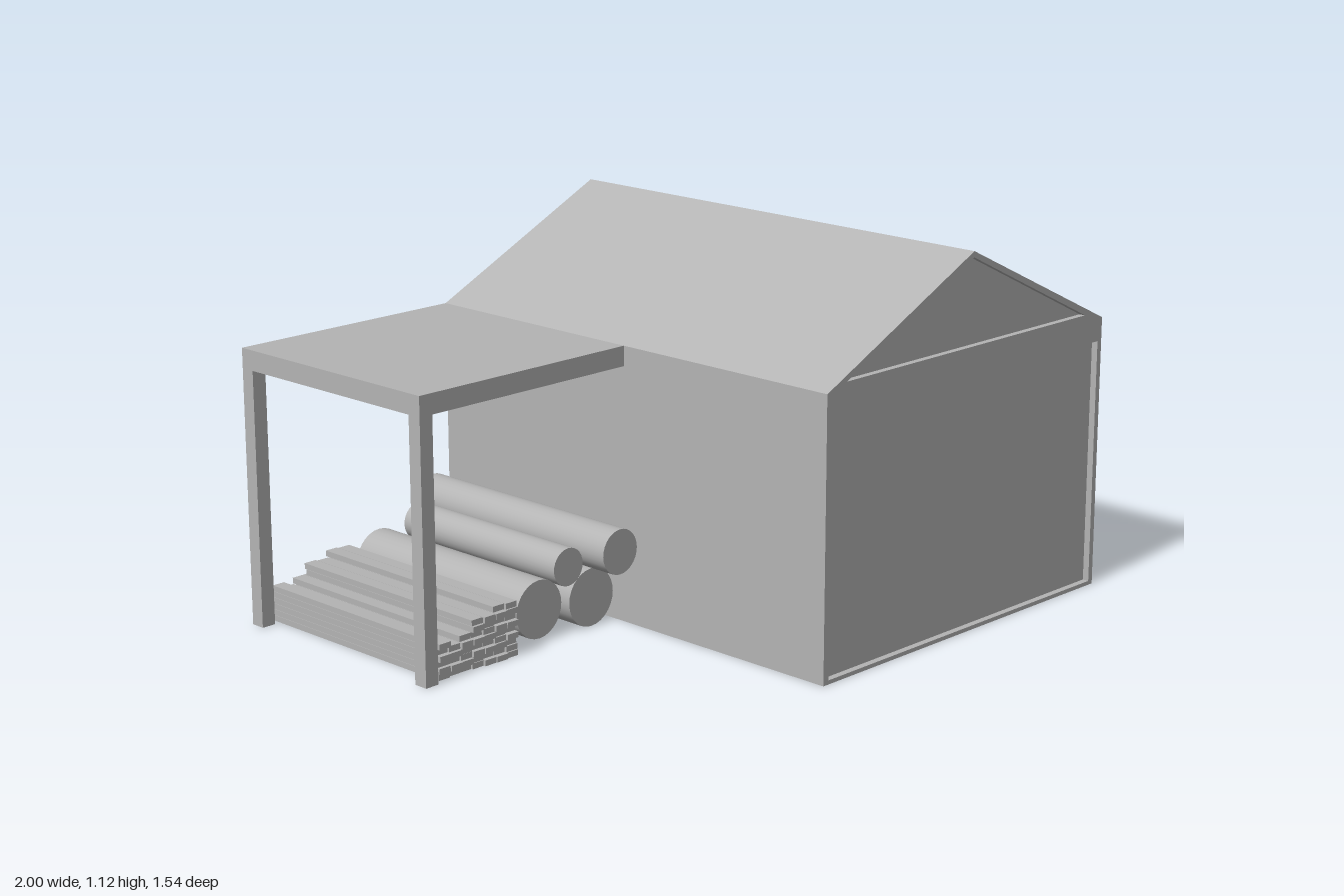
import * as THREE from 'three';

const grey = new THREE.MeshStandardMaterial({ color: 0xb4b4b4 });
grey.name = 'plain grey';

const rect = (x0, y0, x1, y1) => [[x0, y0], [x1, y0], [x1, y1], [x0, y1]];
const toPoints = (list) => list.map(([x, y]) => new THREE.Vector2(x, y));

// Extruded outline with optional openings, starting at z
function slab(outline, holes, z, depth) {
  const shape = new THREE.Shape(toPoints(outline));
  holes.forEach((h) => shape.holes.push(new THREE.Path(toPoints(h))));
  return new THREE.ExtrudeGeometry(shape, { depth, bevelEnabled: false }).translate(0, 0, z);
}

// Box given by its two opposite corners
function box(x0, y0, z0, x1, y1, z1) {
  return new THREE.BoxGeometry(x1 - x0, y1 - y0, z1 - z0)
    .translate((x0 + x1) / 2, (y0 + y1) / 2, (z0 + z1) / 2);
}

export function createModel() {
  const model = new THREE.Group();
  model.name = 'workshop';
  const add = (name, geometry, parent = model) => {
    const mesh = new THREE.Mesh(geometry, grey);
    mesh.name = name;
    parent.add(mesh);
    return mesh;
  };

  const L = -0.23, R = 1, mid = 0.385, eave = 0.83, ridge = 1.125;
  const back = -0.762, front = 0.77, inset = 0.02, wall = 0.015;

  // Main hall, set in behind the window wall and the two gable ends
  const core = [[L, 0], [R - wall, 0], [R - wall, eave - 0.005], [R, eave - 0.005],
    [R, eave], [mid, ridge], [L, eave]];
  add('hall', slab(core, [], back + inset, front - back - 2 * inset));

  // Gable ends with sunk triangle; the front also has a sunk garage door
  const end = [[L, 0], [R, 0], [R, eave], [mid, ridge], [L, eave]];
  const triangle = [[-0.15, 0.85], [0.915, 0.85], [mid, 1.107]];
  const garage = rect(L + 0.02, 0.012, R - 0.018, 0.76);
  add('frontGable', slab(end, [triangle, garage], front - inset, inset));
  add('backGable', slab(end, [triangle], back, inset));

  // Side wall with four sunk window panes
  const panes = [];
  for (const u of [0.12, 0.39]) {
    for (const [y0, y1] of [[0.313, 0.497], [0.509, 0.692]]) {
      panes.push(rect(u, y0, u + 0.245, y1));
    }
  }
  const side = rect(-(front - inset), 0, -(back + inset), eave - 0.005);
  add('windowWall', slab(side, panes, 0, wall).rotateY(Math.PI / 2).translate(R - wall, 0, 0));

  // Thin trim around the back door
  const door = new THREE.Group();
  door.name = 'backDoor';
  model.add(door);
  const trim = back - 0.006;
  add('doorTop', box(0.23, 0.512, trim, 0.53, 0.52, back), door);
  add('doorSill', box(0.22, 0.08, trim, 0.512, 0.086, back), door);
  add('doorJamb', box(0.232, 0.08, trim, 0.24, 0.515, back), door);
  add('doorJamb', box(0.507, 0.08, back - 0.002, 0.51, 0.515, back), door);

  // Open lean-to: flat roof on two posts
  const shed = new THREE.Group();
  shed.name = 'carport';
  model.add(shed);
  add('flatRoof', box(-1, 0.77, back, L, eave, 0), shed);
  for (const z of [back, -0.045]) add('post', box(-1, 0, z, -0.955, 0.77, z + 0.045), shed);

  // Log pile: x, y, radius, back end, front end
  const logs = [
    [-0.508, 0.09, 0.088, -0.77, -0.07],
    [-0.329, 0.09, 0.088, -0.76, -0.04],
    [-0.419, 0.203, 0.057, -0.69, -0.04],
    [-0.301, 0.242, 0.068, -0.755, 0.052],
  ];
  const pile = new THREE.Group();
  pile.name = 'logPile';
  model.add(pile);
  for (const [x, y, r, z0, z1] of logs) {
    add('log', new THREE.CylinderGeometry(r, r, z1 - z0, 28)
      .rotateX(Math.PI / 2).translate(x, y, (z0 + z1) / 2), pile);
  }

  // Stacked planks in seven columns of uneven height
  const stack = new THREE.Group();
  stack.name = 'plankStack';
  model.add(stack);
  const pitch = 0.0423, thick = 0.0181;
  [6, 5, 6, 8, 8, 9, 9].forEach((count, i) => {
    for (let j = 0; j < count; j++) {
      const shift = 0.008 * Math.sin(i * 5.3 + j * 2.7);
      const x = -0.936 + i * pitch, y = j * thick;
      add('plank', box(x, y, -0.752 + shift, x + pitch - 0.001, y + thick - 0.001, -0.02 + shift), stack);
    }
  });

  return model;
}
